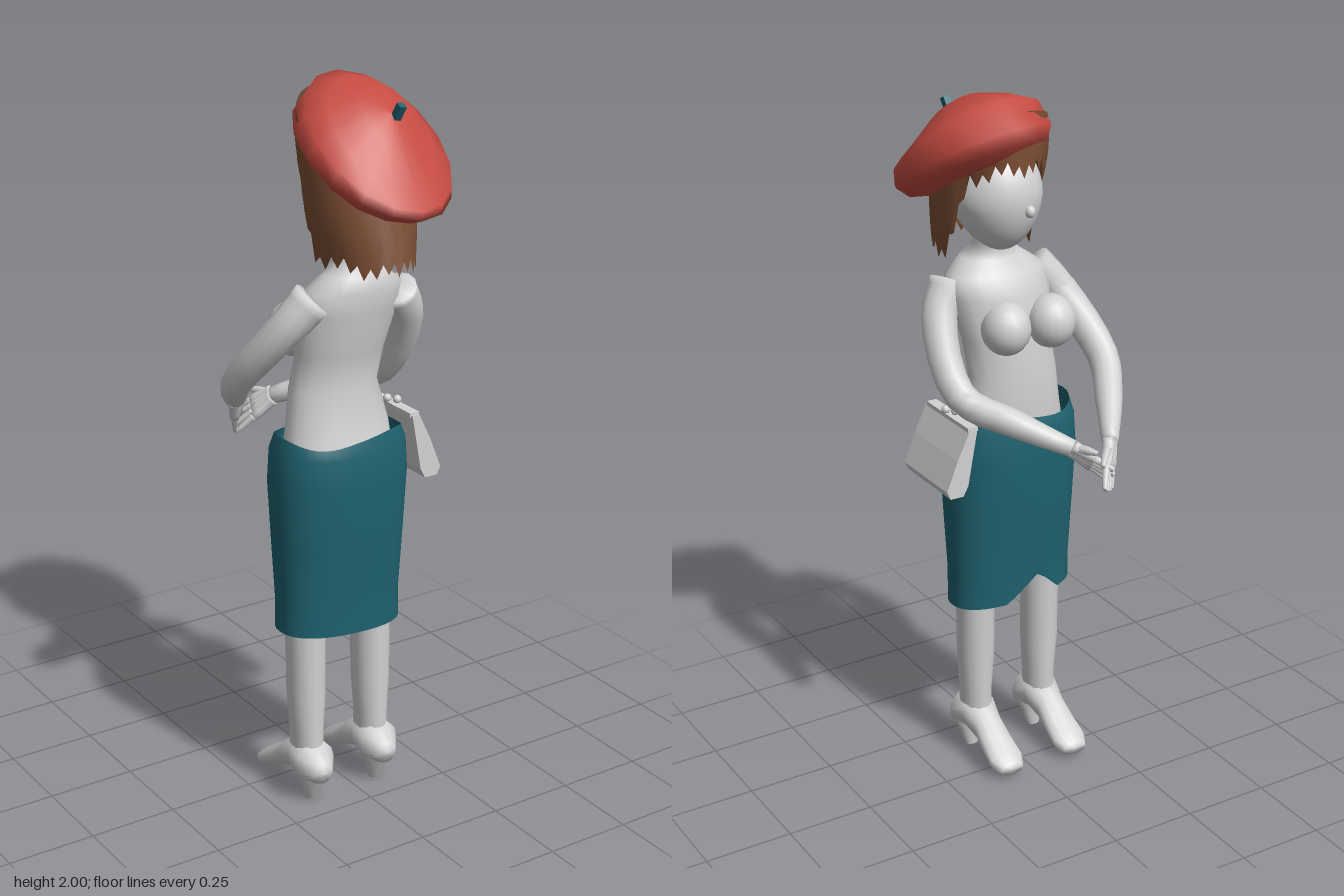
import * as THREE from 'three';

const V = (x, y, z) => new THREE.Vector3(x, y, z);
const mat = (name, color, side = THREE.FrontSide) => {
  const m = new THREE.MeshStandardMaterial({ color, side });
  m.name = name;
  return m;
};

// Closed-loop surface: f(row, angle) gives each point
function loops(rows, cols, f) {
  const pos = [], idx = [];
  for (let i = 0; i < rows; i++) {
    for (let j = 0; j < cols; j++) {
      pos.push(...f(i, (j / cols) * Math.PI * 2, j).toArray());
      if (i === rows - 1) continue;
      const a = i * cols + j, b = i * cols + ((j + 1) % cols);
      idx.push(a, b, a + cols, b, b + cols, a + cols);
    }
  }
  const g = new THREE.BufferGeometry();
  g.setAttribute('position', new THREE.Float32BufferAttribute(pos, 3));
  g.setIndex(idx);
  g.computeVertexNormals();
  return g;
}

// Stacked ellipses, each [y, cx, cz, rx, rz], listed upwards
const stack = (rows, cols = 20) => loops(rows.length, cols, (i, a) => {
  const [y, cx, cz, rx, rz] = rows[i];
  return V(cx + rx * Math.sin(a), y, cz + rz * Math.cos(a));
});

// Tapered round limb through points, closed at both ends
function limb(points, radii, cols = 10) {
  const curve = new THREE.CatmullRomCurve3(points);
  const n = (points.length - 1) * 4;
  return loops(n + 3, cols, (i, a) => {
    const k = Math.min(Math.max(i - 1, 0), n), t = k / n;
    const s = t * (radii.length - 1), q = Math.min(Math.floor(s), radii.length - 2);
    const r = i === 0 || i === n + 2 ? 0 : THREE.MathUtils.lerp(radii[q], radii[q + 1], s - q);
    const T = curve.getTangent(t);
    const u = V(1, 0.2, 0.3).cross(T).normalize();
    const v = T.clone().cross(u);
    return curve.getPoint(t).addScaledVector(u, r * Math.cos(a)).addScaledVector(v, r * Math.sin(a));
  });
}

export function createModel() {
  const model = new THREE.Group();
  model.name = 'standingWoman';
  const skin = mat('pale grey', 0xd2d2d2);
  const red = mat('beret red', 0xc64c42);
  const teal = mat('skirt teal', 0x1f6370, THREE.DoubleSide);
  const brown = mat('hair brown', 0x7c4e34, THREE.DoubleSide);
  const add = (name, geo, material, parent = model) => {
    const m = new THREE.Mesh(geo, material);
    m.name = name;
    parent.add(m);
    return m;
  };
  const ball = (name, p, rx, ry, rz) => {
    const m = add(name, new THREE.SphereGeometry(1, 18, 12), skin);
    m.position.copy(p);
    m.scale.set(rx, ry, rz);
    return m;
  };

  // Torso, chest and neck
  add('torso', stack([
    [0.98, -0.025, 0.11, 0.17, 0.11], [1.08, -0.02, 0.1, 0.155, 0.1], [1.2, -0.02, 0.08, 0.13, 0.088],
    [1.3, -0.012, 0.1, 0.13, 0.09], [1.42, 0, 0.115, 0.15, 0.1], [1.48, 0.005, 0.135, 0.145, 0.085],
    [1.52, 0.008, 0.145, 0.09, 0.068], [1.555, 0.01, 0.135, 0.05, 0.052], [1.65, 0.03, 0.11, 0.048, 0.048],
  ]), skin);
  ball('rightBreast', V(-0.1, 1.345, 0.01), 0.068, 0.075, 0.072);
  ball('leftBreast', V(0.035, 1.345, 0.02), 0.068, 0.075, 0.072);

  // Head with a narrowed jaw and a small nose
  const headGeo = new THREE.SphereGeometry(1, 24, 18);
  const hp = headGeo.attributes.position;
  for (let i = 0; i < hp.count; i++) {
    const y = hp.getY(i), k = y < 0 ? 1 + 0.22 * y : 1;
    hp.setXYZ(i, hp.getX(i) * k * 0.125, y * 0.15, hp.getZ(i) * k * 0.135 + (y < 0 ? 0.025 * y : 0));
  }
  headGeo.computeVertexNormals();
  const head = add('head', headGeo, skin);
  head.position.set(0.045, 1.715, 0.065);
  head.rotation.y = 0.25;
  ball('nose', V(0.012, 1.69, -0.064), 0.014, 0.017, 0.016);

  // Bobbed hair: curtain with jagged ends, cut short over the face
  const hairEnd = (z) => {
    const keys = [[-0.1, 1.82], [0, 1.78], [0.05, 1.64], [0.1, 1.56], [0.32, 1.545]];
    for (let k = 1; k < keys.length; k++) {
      const [z0, y0] = keys[k - 1], [z1, y1] = keys[k];
      if (z <= z1) return y0 + (y1 - y0) * Math.max(0, (z - z0) / (z1 - z0));
    }
    return 1.545;
  };
  add('hair', loops(6, 56, (i, a, j) => {
    const c = Math.cos(a), t = i / 5;
    const rz = c > 0 ? 0.145 + 0.05 * t : 0.185;
    const z = 0.095 + rz * c;
    const jag = (j % 2 ? 1 : -1) * (0.016 + 0.01 * Math.sin(j * 2.3));
    const end = hairEnd(z) + jag;
    const swell = 0.145 + 0.012 * Math.sin(t * Math.PI) - 0.015 * t;
    return V(0.045 + swell * Math.sin(a), THREE.MathUtils.lerp(1.865 - 0.1 * c, end, 1 - (1 - t)), z);
  }), brown);
  const cap = add('hairCap', new THREE.SphereGeometry(1, 20, 12, 0, Math.PI * 2, 0, Math.PI / 2), brown);
  cap.position.set(0.047, 1.79, 0.09);
  cap.scale.set(0.142, 0.1, 0.16);
  cap.rotation.x = 0.48;

  // Beret: tilted soft disc, drooping at the back
  const beret = new THREE.Group();
  beret.name = 'beret';
  beret.position.set(0.088, 1.808, 0.098);
  beret.rotation.set(0.51, 0, -0.1);
  model.add(beret);
  const profile = [[0, -0.045, 0], [0.6, -0.055, 0], [0.88, -0.035, 0], [1, 0, 0], [0.95, 0.05, 0.03],
    [0.72, 0.078, 0.035], [0.36, 0.125, 0.02], [0, 0.138, 0]];
  add('beretCloth', loops(profile.length, 16, (i, a) => {
    const [s, y, droop] = profile[i];
    return V(0.207 * s * Math.sin(a), y - droop * Math.cos(a), 0.26 * s * Math.cos(a));
  }), red, beret);
  add('beretStem', new THREE.BoxGeometry(0.02, 0.045, 0.02), teal, beret).position.set(0.01, 0.15, 0.012);

  // Pencil skirt with wavy waist and a notch in the front hem
  const skirtRows = [[0.51, 0.187, 0.102], [0.6, 0.185, 0.106], [0.78, 0.193, 0.122],
    [0.95, 0.2, 0.135], [1.04, 0.194, 0.133], [1.08, 0.18, 0.122]];
  add('skirt', loops(skirtRows.length, 44, (i, a) => {
    const [y0, rx, rz] = skirtRows[i];
    const sx = Math.sin(a), cz = Math.cos(a);
    const x = -0.027 + rx * Math.sign(sx) * Math.abs(sx) ** 0.85;
    const z = 0.115 + rz * Math.sign(cz) * Math.abs(cz) ** 0.85;
    let y = y0;
    if (i === 0) y += -0.06 * x + 0.07 * Math.max(0, 1 - Math.abs(a - 3.3) / 0.4);
    if (i === 5) y += 0.011 * Math.sin(3 * a);
    return V(x, y, z);
  }), teal);

  // Legs and heeled shoes
  const shoe = [[0.218, 0.1, 0, 0], [0.212, 0.1, 0.03, 0.03], [0.17, 0.118, 0.062, 0.06], [0.11, 0.13, 0.058, 0.052],
    [0.05, 0.1, 0.045, 0.045], [0, 0.068, 0.05, 0.036], [-0.05, 0.042, 0.054, 0.029],
    [-0.083, 0.03, 0.036, 0.018], [-0.086, 0.03, 0, 0]];
  for (const [side, x] of [['right', -0.135], ['left', 0.08]]) {
    add(side + 'Leg', stack([[0.13, x, 0.125, 0.045, 0.055], [0.2, x, 0.125, 0.044, 0.054],
      [0.32, x, 0.122, 0.053, 0.058], [0.48, x, 0.12, 0.055, 0.058], [0.7, x, 0.115, 0.068, 0.07]], 14), skin);
    add(side + 'Shoe', loops(shoe.length, 12, (i, a) => {
      const [z, y, rx, ry] = shoe[i];
      return V(x + rx * Math.sin(a), y + ry * Math.cos(a), z);
    }), skin);
    add(side + 'Heel', stack([[0, x, 0.15, 0, 0], [0, x, 0.15, 0.02, 0.014], [0.05, x, 0.162, 0.034, 0.022],
      [0.1, x, 0.168, 0.058, 0.046]], 10), skin);
  }

  // Arms reaching forward to crossed hands
  const arms = [
    { side: 'right', path: [V(-0.125, 1.465, 0.145), V(-0.195, 1.38, 0.11), V(-0.25, 1.225, -0.02),
      V(-0.2, 1.14, -0.13), V(-0.135, 1.075, -0.235)], tip: V(-0.08, 0.965, -0.31), spread: V(0.6, 0.3, -0.5) },
    { side: 'left', path: [V(0.13, 1.455, 0.155), V(0.178, 1.37, 0.13), V(0.18, 1.18, 0.015),
      V(0.085, 1.125, -0.11), V(-0.025, 1.07, -0.22)], tip: V(-0.115, 0.99, -0.285), spread: V(0.2, 0.7, -0.6) },
  ];
  for (const { side, path, tip, spread } of arms) {
    add(side + 'Arm', limb(path, [0.056, 0.05, 0.043, 0.038, 0.024], 12), skin);
    const wrist = path[4], knuckle = wrist.clone().lerp(tip, 0.5);
    spread.normalize();
    const at = (p, s) => p.clone().addScaledVector(spread, s);
    for (let k = 0; k < 4; k++) {
      const s = k - 1.5;
      add(side + 'Palm', limb([at(wrist, s * 0.008), at(knuckle, s * 0.017)], [0.019, 0.014], 8), skin);
      const end = at(tip, s * 0.026).lerp(knuckle, Math.abs(s) * 0.08);
      add(side + 'Finger', limb([at(knuckle, s * 0.017), end], [0.0115, 0.007], 6), skin);
    }
    add(side + 'Thumb', limb([wrist, at(wrist.clone().lerp(tip, 0.3), 0.04), at(knuckle, 0.06)],
      [0.016, 0.012, 0.007], 6), skin);
  }

  // Clutch bag hanging outward at the hip, with frame and clasp
  const bag = new THREE.Group();
  bag.name = 'handbag';
  model.add(bag);
  const outline = new THREE.Shape([[0.16, 1.1], [0.183, 1.1], [0.222, 1.02], [0.256, 0.935], [0.245, 0.912],
    [0.205, 0.912], [0.19, 0.94]].map(([x, y]) => new THREE.Vector2(x, y)));
  const bagGeo = new THREE.ExtrudeGeometry(outline, { depth: 0.236, bevelEnabled: false });
  add('bagBody', bagGeo, skin, bag).position.z = -0.038;
  add('bagFrame', new THREE.BoxGeometry(0.03, 0.012, 0.226), skin, bag).position.set(0.172, 1.1, 0.078);
  for (const s of [-1, 1]) {
    add('claspBead', new THREE.SphereGeometry(0.012, 10, 8), skin, bag).position.set(0.172 + s * 0.008, 1.114, 0.085 + s * 0.012);
  }
  return model;
}
